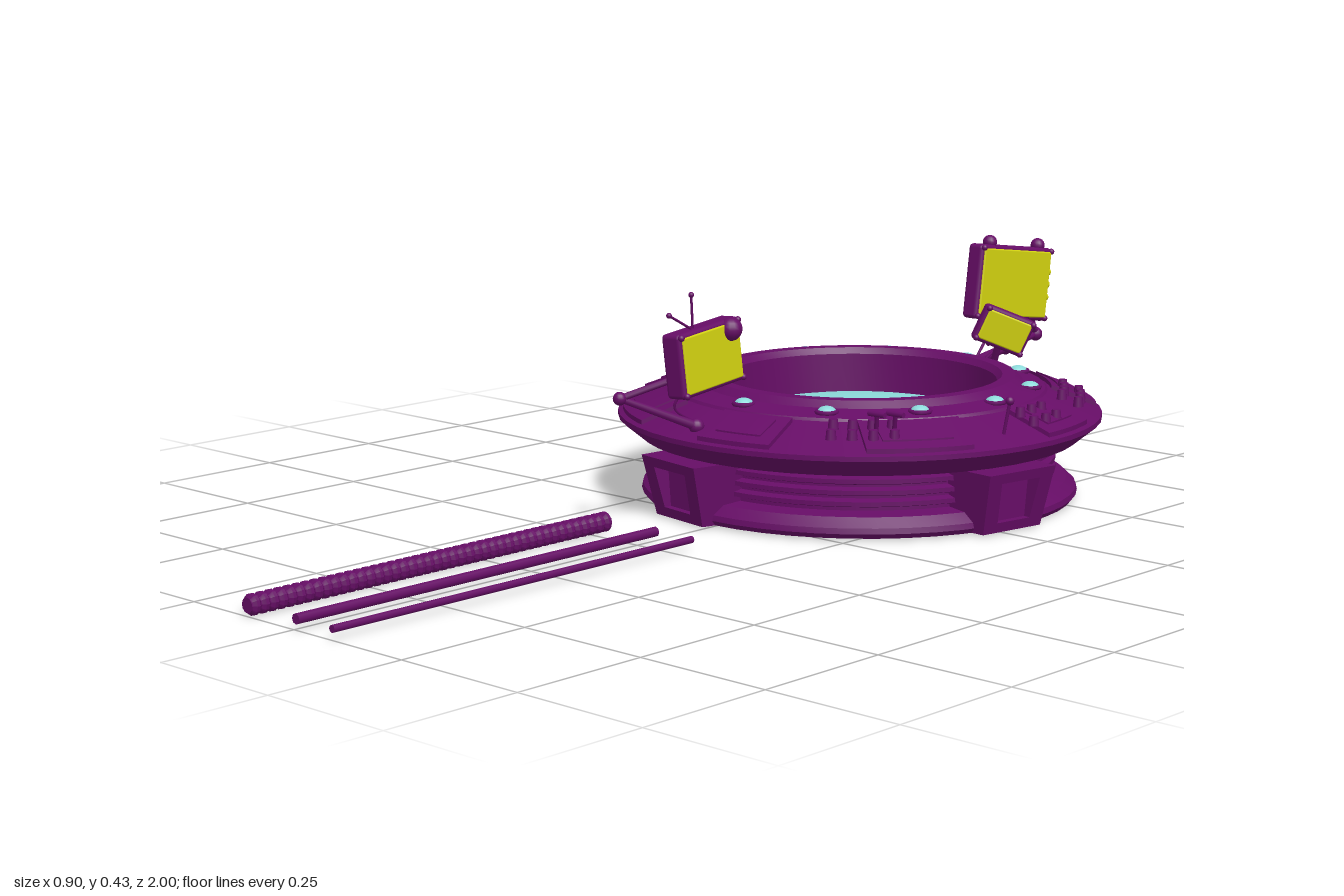
import * as THREE from 'three';
import { toCreasedNormals } from 'three/addons/utils/BufferGeometryUtils.js';
import { RoundedBoxGeometry } from 'three/addons/geometries/RoundedBoxGeometry.js';

const purple = new THREE.MeshStandardMaterial({ color: 0x660d66 });
const teal = new THREE.MeshStandardMaterial({ color: 0x8cdada });
const yellow = new THREE.MeshStandardMaterial({ color: 0xd2d210 });
const CZ = -0.335; // table centre in z
const V = (x, y, z) => new THREE.Vector3(x, y, z);

function add(parent, name, geo, mat = purple, pos = [0, 0, 0]) {
  const m = new THREE.Mesh(geo, mat);
  m.name = name;
  m.position.set(...pos);
  parent.add(m);
  return m;
}
const box = (w, h, d) => new THREE.BoxGeometry(w, h, d);
const ball = (r) => new THREE.SphereGeometry(r, 14, 10);
const lathe = (pts, seg) => toCreasedNormals(
  new THREE.LatheGeometry(pts.map((p) => new THREE.Vector2(...p)), seg), 0.45);

// straight rod between two points
function rod(parent, name, a, b, r, r2 = r) {
  const p = V(...a), d = V(...b).sub(p);
  const m = add(parent, name, new THREE.CylinderGeometry(r2, r, d.length(), 8));
  m.position.copy(p).addScaledVector(d, 0.5);
  m.quaternion.setFromUnitVectors(V(0, 1, 0), d.normalize());
  return m;
}
function wire(parent, name, pts, r) {
  const c = new THREE.CatmullRomCurve3(pts.map((p) => V(...p)));
  return add(parent, name, new THREE.TubeGeometry(c, 20, r, 5));
}

// height of the sloping deck at radius r
const deckY = (r) => (r < 0.345 ? 0.213 - (r - 0.3) * 0.29 : 0.2 - (r - 0.345) * 0.4);
const onDeck = (r, a, lift = 0) => [r * Math.sin(a), deckY(r) + lift, r * Math.cos(a)];

// curved plate lying on the deck; angle 0 is the front
function plate(parent, name, r0, r1, a, half, h) {
  const g = new THREE.BoxGeometry(1, 1, 1, 10, 1, 1).toNonIndexed();
  const p = g.attributes.position;
  for (let i = 0; i < p.count; i++) {
    const t = p.getZ(i) + 0.5, r = r0 + (r1 - r0) * t;
    const ang = a + p.getX(i) * 2 * half * (1 - 0.15 * t);
    const [x, y, z] = onDeck(r, ang, p.getY(i) > 0 ? h : -0.012);
    p.setXYZ(i, x, y, z);
  }
  return add(parent, name, toCreasedNormals(g, 0.4));
}

// buttress with a recessed window, leaning outward towards the top
function buttress() {
  const g = new THREE.Group();
  g.name = 'buttress';
  const s = new THREE.Shape([[-0.075, 0], [0.075, 0], [0.085, 0.11], [-0.085, 0.11]]
    .map((p) => new THREE.Vector2(...p)));
  s.holes.push(new THREE.Path([[-0.042, 0.018], [-0.05, 0.092], [0.05, 0.092], [0.042, 0.018]]
    .map((p) => new THREE.Vector2(...p))));
  const geo = new THREE.ExtrudeGeometry(s, { depth: 0.1, bevelEnabled: false });
  const p = geo.attributes.position;
  for (let i = 0; i < p.count; i++) {
    if (p.getZ(i) > 0.05) {
      p.setZ(i, 0.085 + p.getY(i) * 0.24);
      p.setX(i, p.getX(i) * 0.9);
    }
  }
  geo.computeVertexNormals();
  add(g, 'buttressFrame', geo, purple, [0, 0.003, 0.33]);
  add(g, 'buttressPanel', box(0.12, 0.09, 0.06), purple, [0, 0.055, 0.375]);
  return g;
}

// framed screen facing +z
function monitor(name, w, h, d) {
  const g = new THREE.Group();
  g.name = name;
  add(g, 'monitorCase', new RoundedBoxGeometry(w, h, d, 2, 0.008));
  add(g, 'screen', new RoundedBoxGeometry(w - 0.014, h - 0.014, 0.006, 2, 0.003), yellow, [0, 0, d / 2]);
  add(g, 'backHousing', box(w * 0.7, h * 0.7, 0.014), purple, [0, 0, -d / 2 - 0.005]);
  for (const sx of [-1, 1]) for (const sy of [-1, 1])
    add(g, 'cornerStud', ball(0.006), purple, [sx * (w / 2 - 0.006), sy * (h / 2 - 0.006), d / 2]);
  g.rotation.order = 'YXZ';
  return g;
}

function buildTable() {
  const t = new THREE.Group();
  t.name = 'table';
  t.position.z = CZ;

  // body with stepped waist, flared deck and open well
  const ribs = [];
  for (let i = 0; i < 3; i++) {
    const y = 0.048 + i * 0.02;
    ribs.push([0.348, y], [0.362, y + 0.004], [0.362, y + 0.012], [0.348, y + 0.016]);
  }
  add(t, 'body', lathe([
    [0, 0.003], [0.395, 0.003], [0.402, 0.012], [0.4, 0.022], [0.382, 0.038], [0.348, 0.042],
    ...ribs, [0.348, 0.112], [0.405, 0.116], [0.412, 0.122], [0.445, 0.149], [0.445, 0.158],
    [0.345, 0.198], [0.341, 0.203], [0.3, 0.213], [0.286, 0.225], [0.262, 0.225],
    [0.252, 0.214], [0.25, 0.135],
  ], 48));

  // projection dome inside the well
  const dome = [];
  for (let i = 0; i <= 10; i++) dome.push([0.25 * (1 - i / 10), 0.14 + 0.03 * (1 - (1 - i / 10) ** 2)]);
  add(t, 'projectionDome', new THREE.LatheGeometry(dome.map((p) => new THREE.Vector2(...p)), 48), teal);

  // rim lights
  for (let i = 0; i < 12; i++) {
    const a = (i * Math.PI) / 6;
    const socket = add(t, 'lightSocket', new THREE.TorusGeometry(0.018, 0.004, 6, 16), purple, onDeck(0.315, a, 0.001));
    socket.rotation.x = Math.PI / 2;
    add(t, 'rimLight', ball(0.017), teal, onDeck(0.315, a, 0.001)).scale.y = 0.6;
  }

  // buttresses around the base
  for (let i = 0; i < 4; i++) {
    const b = buttress();
    b.rotation.y = -0.165 + (i * Math.PI) / 2;
    t.add(b);
  }

  // deck plates
  for (let i = 0; i < 8; i++) {
    const a = (i * Math.PI) / 4 + 0.17;
    plate(t, 'deckPlate', 0.352, 0.436, a, i % 2 ? 0.26 : 0.2, 0.006);
    plate(t, 'deckInset', 0.366, 0.415, a, i % 2 ? 0.18 : 0.13, 0.009);
  }

  // control knobs on the left side
  for (const [a, n] of [[0.72, 4], [1.65, 3], [2.2, 4]])
    for (let i = 0; i < n; i++) for (const r of [0.375, 0.405])
      add(t, 'controlKnob', new THREE.CylinderGeometry(0.008, 0.01, 0.018, 10), purple,
        onDeck(r, a + (i - n / 2 + 0.5) * 0.09, 0.012));

  // levers
  for (const a of [0.78, 0.86]) {
    const foot = onDeck(0.385, a), tip = onDeck(0.4, a, 0.045);
    rod(t, 'leverStem', foot, tip, 0.004);
    rod(t, 'leverGrip', [tip[0] - 0.018, tip[1], tip[2]], [tip[0] + 0.018, tip[1], tip[2]], 0.005);
  }

  // short aerial
  rod(t, 'aerial', [0.395, 0.17, 0.078], [0.408, 0.232, 0.078], 0.003);
  add(t, 'aerialTip', ball(0.008), purple, [0.408, 0.234, 0.078]);
  return t;
}

function buildFrontMonitor() {
  const g = new THREE.Group();
  g.name = 'frontMonitorAssembly';
  const m = monitor('frontMonitor', 0.17, 0.115, 0.042);
  m.position.set(-0.015, 0.302, 0.068);
  m.rotation.set(-0.06, 1.65, 0.08);
  g.add(m);
  add(g, 'monitorKnob', ball(0.021), purple, [0.0, 0.347, 0.014]);
  for (const [z0, z1, y1] of [[0.1, 0.11, 0.418], [0.1, 0.165, 0.388]]) {
    rod(g, 'antenna', [-0.01, 0.355, z0], [-0.004, y1, z1], 0.0022);
    add(g, 'antennaTip', ball(0.005), purple, [-0.004, y1, z1]);
  }
  // folding arm
  rod(g, 'lowerArm', [-0.03, 0.178, 0.07], [-0.08, 0.24, 0.21], 0.009, 0.006);
  rod(g, 'upperArm', [-0.08, 0.24, 0.21], [-0.03, 0.268, 0.14], 0.006);
  add(g, 'elbowJoint', ball(0.012), purple, [-0.08, 0.24, 0.21]);
  add(g, 'armFoot', ball(0.014), purple, [-0.03, 0.178, 0.07]);
  wire(g, 'armCable', [[-0.03, 0.25, 0.1], [-0.045, 0.215, 0.11], [-0.035, 0.18, 0.06]], 0.0025);
  return g;
}

function buildBackMonitors() {
  const g = new THREE.Group();
  g.name = 'backMonitorAssembly';
  const m = monitor('largeMonitor', 0.228, 0.145, 0.036);
  m.position.set(-0.043, 0.331, -0.832);
  m.rotation.set(0, Math.PI / 2, -0.14);
  g.add(m);
  for (const x of [-0.07, 0.085]) add(m, 'topStud', ball(0.014), purple, [x, 0.077, 0]);
  for (const y of [-0.025, 0, 0.025]) {
    const k = add(m, 'sideButton', new THREE.CylinderGeometry(0.008, 0.008, 0.02, 10), yellow, [0.118, y, 0]);
    k.rotation.z = Math.PI / 2;
  }
  const s = monitor('smallMonitor', 0.108, 0.074, 0.022);
  s.position.set(0.055, 0.265, -0.693);
  s.rotation.set(0.12, 0.95, -0.4);
  g.add(s);
  // arms and rear bracket
  const foot = [-0.06, 0.178, -0.735], elbow = [-0.088, 0.205, -0.985];
  add(g, 'armFoot', ball(0.022), purple, foot);
  rod(g, 'lowerArm', foot, elbow, 0.011, 0.007);
  add(g, 'elbowJoint', ball(0.014), purple, elbow);
  add(g, 'armJoint', ball(0.013), purple, [-0.075, 0.192, -0.87]);
  rod(g, 'upperArm', elbow, [-0.07, 0.26, -0.935], 0.007);
  add(g, 'rearBracket', box(0.035, 0.03, 0.04), purple, [-0.078, 0.345, -0.88]);
  for (const x of [-0.09, -0.075]) rod(g, 'bracketRod', [x, 0.35, -0.88], [x, 0.215, -0.97], 0.004);
  rod(g, 'smallMonitorArm', [0.01, 0.185, -0.72], [0.046, 0.262, -0.7], 0.007);
  // slack cables
  wire(g, 'cable', [[-0.04, 0.27, -0.9], [-0.035, 0.215, -0.86], [-0.03, 0.205, -0.78], [-0.02, 0.18, -0.71]], 0.003);
  wire(g, 'cable', [[-0.045, 0.28, -0.78], [-0.02, 0.225, -0.74], [0.03, 0.24, -0.7]], 0.003);
  wire(g, 'cable', [[-0.05, 0.26, -0.88], [-0.055, 0.235, -0.8], [-0.04, 0.18, -0.72]], 0.003);
  return g;
}

// loose hoses lying in front of the table
function buildHoses() {
  const g = new THREE.Group();
  g.name = 'hoses';
  const prof = [[0, 0]];
  for (let i = 0; i < 44; i++) {
    const y = (i * 0.79) / 44;
    prof.push([0.013, y], [0.018, y + 0.005], [0.018, y + 0.011], [0.013, y + 0.016]);
  }
  prof.push([0.013, 0.79], [0, 0.79]);
  add(g, 'ribbedHose', lathe(prof, 12), purple, [-0.114, 0.018, 0.21]).rotation.x = Math.PI / 2;
  rod(g, 'mediumHose', [0.005, 0.018, 0.21], [0.005, 0.018, 1], 0.009);
  rod(g, 'thinHose', [0.091, 0.018, 0.21], [0.091, 0.018, 1], 0.0065);
  return g;
}

export function createModel() {
  const model = new THREE.Group();
  model.name = 'projectionTable';
  model.add(buildTable(), buildFrontMonitor(), buildBackMonitors(), buildHoses());
  return model;
}
